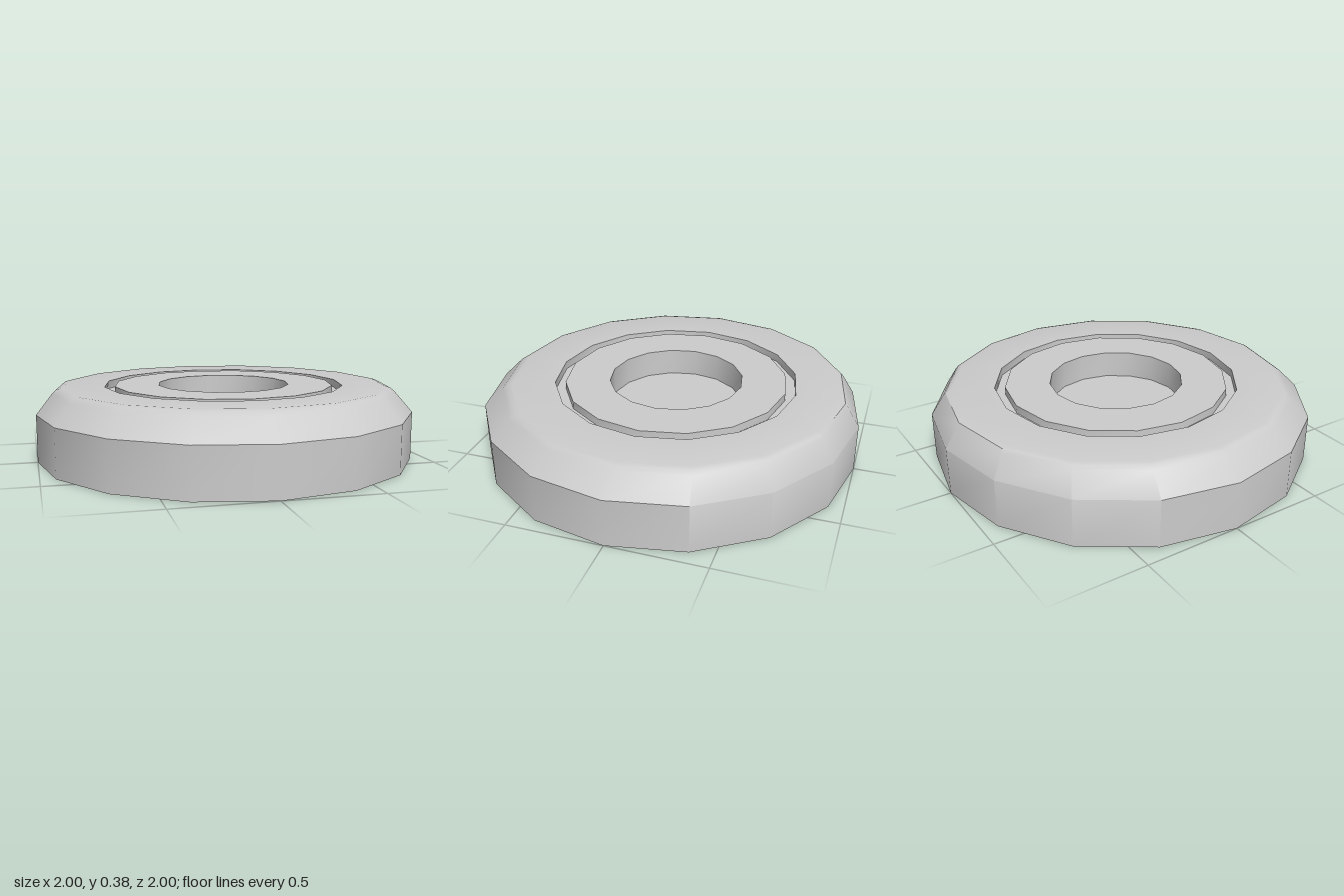
import * as THREE from 'three';
import { toCreasedNormals } from 'three/addons/utils/BufferGeometryUtils.js';

const SIDES = 16;
const TOP = 0.38;      // height of the deck
const SHIFT = -0.026;  // the upper rings sit slightly towards the back

// Skin between rings [radius, y, z offset], listed from outside to inside.
function loft(rings) {
  const positions = [];
  const point = ([r, y, dz], j) => {
    const a = (j % SIDES) / SIDES * Math.PI * 2;
    return [r * Math.sin(a), y, r * Math.cos(a) + dz];
  };
  for (let i = 0; i < rings.length - 1; i++) {
    for (let j = 0; j < SIDES; j++) {
      const a = point(rings[i], j), b = point(rings[i], j + 1);
      const c = point(rings[i + 1], j + 1), d = point(rings[i + 1], j);
      positions.push(...a, ...b, ...c);
      if (rings[i + 1][0] > 0) positions.push(...a, ...c, ...d); // a fan closes at the centre
    }
  }
  const geometry = new THREE.BufferGeometry();
  geometry.setAttribute('position', new THREE.Float32BufferAttribute(positions, 3));
  return toCreasedNormals(geometry, THREE.MathUtils.degToRad(35));
}

export function createModel() {
  const group = new THREE.Group();
  const material = new THREE.MeshStandardMaterial({ color: 0xcccccc, side: THREE.DoubleSide });
  const add = (name, rings) => {
    const mesh = new THREE.Mesh(loft(rings), material);
    mesh.name = name;
    group.add(mesh);
  };

  // Open-bottomed skirt, sloped shoulder with a softened edge, and outer deck
  add('outerShell', [
    [1, 0, 0], [1, 0.25, 0],
    [0.915, 0.355, SHIFT * 0.8], [0.895, 0.373, SHIFT], [0.87, TOP, SHIFT],
    [0.642, TOP, SHIFT],
  ]);

  // Narrow ring channel sunk into the deck
  add('ringGroove', [
    [0.642, TOP, SHIFT], [0.642, TOP - 0.042, SHIFT],
    [0.588, TOP - 0.042, SHIFT], [0.588, TOP, SHIFT],
  ]);

  // Flat deck inside the channel
  add('innerDeck', [[0.588, TOP, SHIFT], [0.353, TOP, SHIFT]]);

  // Round recess in the middle with a closed floor
  add('centreRecess', [
    [0.353, TOP, SHIFT], [0.353, TOP - 0.143, SHIFT], [0, TOP - 0.143, SHIFT],
  ]);

  return group;
}
